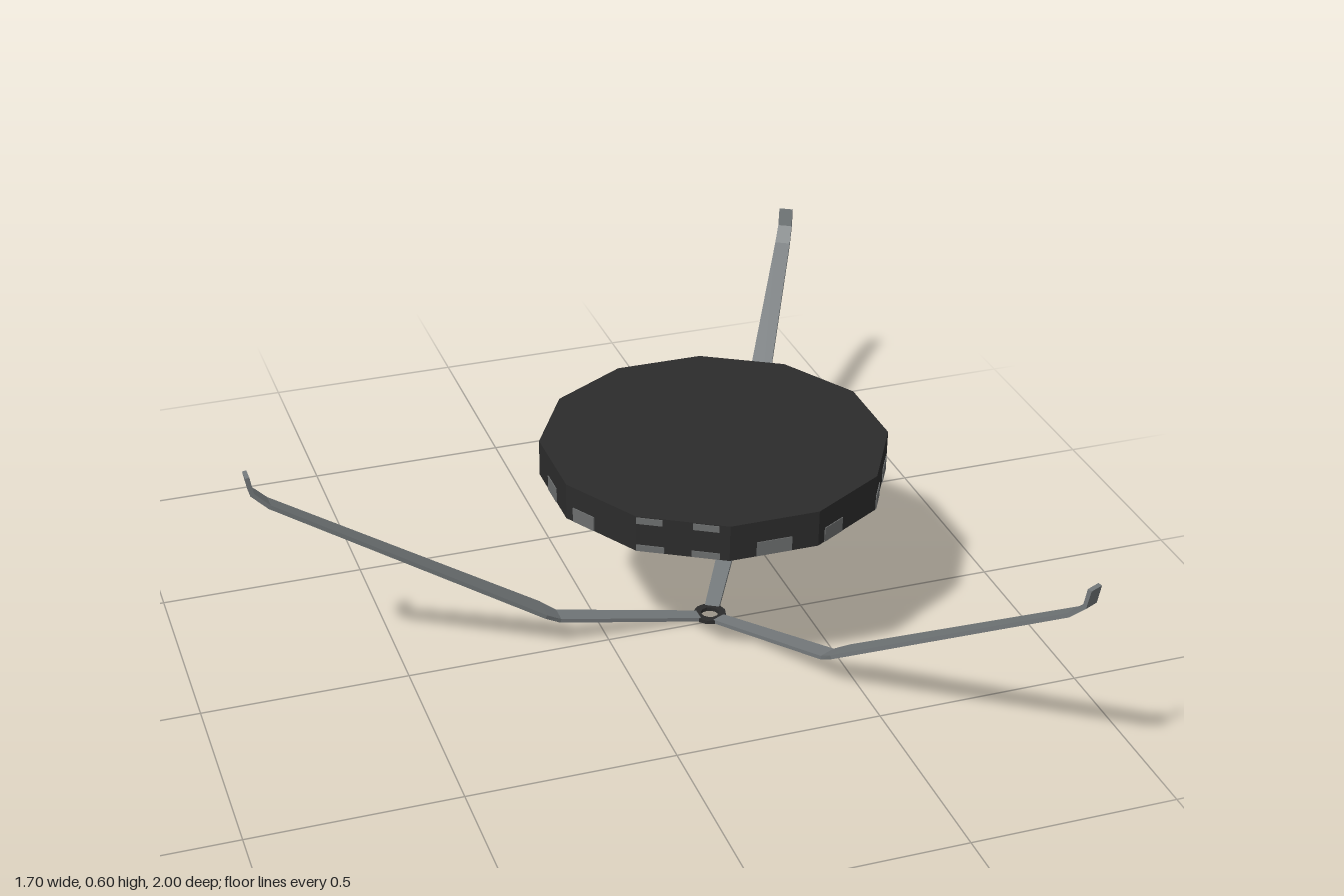
import * as THREE from 'three';

const CX = 0.27, CZ = -0.025;
const APOTHEM = 0.4, BOTTOM = 0.415, TOP = 0.505;

// Arm profile: [distance from hub, height, width]
const PROFILE = [
  [0.03, 0.005, 0.036], [0.39, 0.077, 0.045], [0.43, 0.103, 0.067],
  [1.07, 0.518, 0.039], [1.107, 0.555, 0.036], [1.115, 0.6, 0.035],
];
const THICK = 0.01;

// Flat tapered strip bent along the profile
function armGeometry() {
  const n = PROFILE.length;
  const geo = new THREE.BoxGeometry(1, 1, 1, n - 1, 1, 1).toNonIndexed();
  const pos = geo.attributes.position;
  for (let k = 0; k < pos.count; k++) {
    const i = Math.round((pos.getX(k) + 0.5) * (n - 1));
    const [r, y, w] = PROFILE[i];
    const a = PROFILE[Math.max(i - 1, 0)], b = PROFILE[Math.min(i + 1, n - 1)];
    const len = Math.hypot(b[0] - a[0], b[1] - a[1]);
    const off = pos.getY(k) * THICK;
    pos.setXYZ(k, r - off * (b[1] - a[1]) / len, y + off * (b[0] - a[0]) / len, pos.getZ(k) * w);
  }
  geo.computeVertexNormals();
  return geo;
}

export function createModel() {
  const model = new THREE.Group();
  const black = new THREE.MeshStandardMaterial({ color: 0x2c2c2c });
  black.name = 'black';
  const steel = new THREE.MeshStandardMaterial({ color: 0x74797b });
  steel.name = 'steel grey';
  const grey = new THREE.MeshStandardMaterial({ color: 0x6c6e6e });
  grey.name = 'patch grey';
  const charcoal = new THREE.MeshStandardMaterial({ color: 0x4a4b4b });
  charcoal.name = 'charcoal';

  function add(parent, name, geo, mat, x = 0, y = 0, z = 0) {
    const mesh = new THREE.Mesh(geo, mat);
    mesh.name = name;
    mesh.position.set(x, y, z);
    parent.add(mesh);
    return mesh;
  }

  // Three arms meeting at the hub
  const arm = armGeometry();
  [180, 60, -65].forEach((deg, i) => {
    add(model, 'arm' + (i + 1), arm, steel, CX, 0, CZ).rotation.y = deg * Math.PI / 180;
  });

  // Small open hub ring
  const ring = new THREE.Shape().absarc(0, 0, 0.04, 0, Math.PI * 2);
  ring.holes.push(new THREE.Path().absarc(0, 0, 0.022, 0, Math.PI * 2));
  const hub = new THREE.ExtrudeGeometry(ring, { depth: 0.01, bevelEnabled: false, curveSegments: 6 });
  add(model, 'hub', hub.rotateX(-Math.PI / 2), black, CX, 0, CZ);

  // Twelve-sided disc with flats facing the axes
  const disc = new THREE.Group();
  disc.name = 'disc';
  disc.position.set(CX, 0, CZ);
  model.add(disc);
  const radius = APOTHEM / Math.cos(Math.PI / 12);
  const body = new THREE.CylinderGeometry(radius, radius, TOP - BOTTOM, 12)
    .rotateY(Math.PI / 12).toNonIndexed();
  body.computeVertexNormals();
  add(disc, 'discBody', body, black, 0, (TOP + BOTTOM) / 2, 0);

  // Grey patches on the rim, measured round from the front
  function patch(deg, y, w, h) {
    const facet = Math.round(deg / 30) * 30;
    const limit = APOTHEM * Math.tan(Math.PI / 12) - w / 2;
    const shift = APOTHEM * Math.tan((deg - facet) * Math.PI / 180);
    const geo = new THREE.BoxGeometry(w, h, 0.004);
    geo.translate(THREE.MathUtils.clamp(shift, -limit, limit), 0, APOTHEM);
    add(disc, 'rimPatch', geo, grey, 0, y, 0).rotation.y = facet * Math.PI / 180;
  }
  for (let i = 0; i < 16; i++) {
    const deg = i * 22.5;
    if (deg === 90 || deg === 112.5) continue;
    const small = deg > 300;
    const h = small ? 0.016 : 0.036;
    patch(deg, BOTTOM + h / 2 + 0.001, deg === 0 ? 0.085 : 0.065, h);
    if (small && deg < 340) patch(deg, TOP - 0.01, 0.06, 0.016);
  }

  // Faint curved mark on the underside
  const mark = new THREE.RingGeometry(0.32, 0.37, 12, 1, -2.1, 1.05).rotateX(Math.PI / 2);
  add(disc, 'undersideMark', mark, charcoal, 0, BOTTOM - 0.002, 0);

  return model;
}
